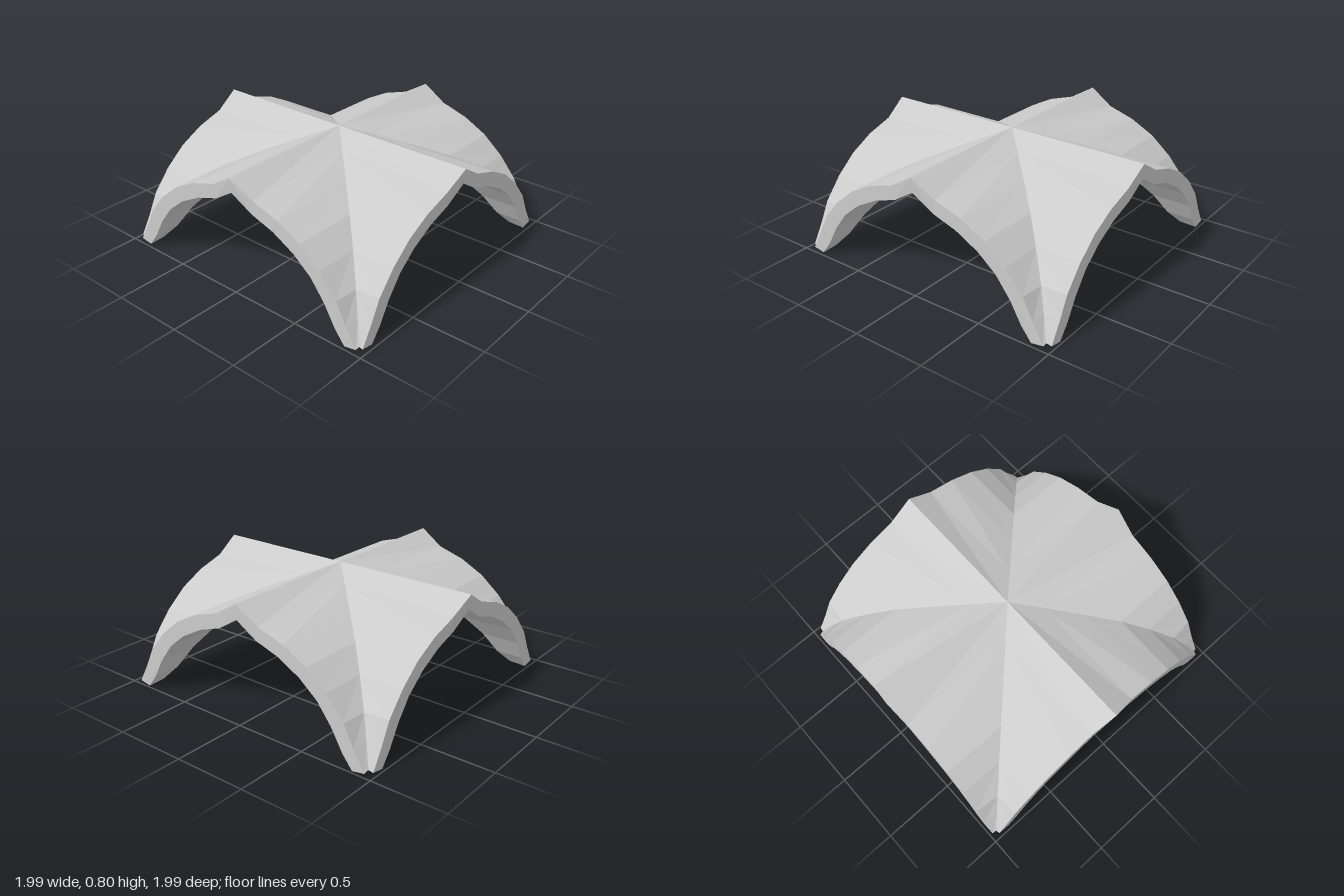
import * as THREE from 'three';

// Half-arch stations from crown to foot: [x, y] of each edge of the shell section
const STATIONS = [
  // outer groin    outer rim      inner rim      inner groin
  [[0, 0.8],        [0, 0.8],      [0, 0.7],      [0, 0.7]],
  [[0.17, 0.725],   [0.17, 0.697], [0.15, 0.605], [0.15, 0.625]],
  [[0.36, 0.638],   [0.36, 0.638], [0.32, 0.55],  [0.32, 0.55]],
  [[0.535, 0.55],   [0.53, 0.55],  [0.48, 0.465], [0.48, 0.465]],
  [[0.68, 0.43],    [0.675, 0.43], [0.61, 0.36],  [0.61, 0.36]],
  [[0.815, 0.285],  [0.8, 0.285],  [0.71, 0.23],  [0.71, 0.23]],
  [[0.885, 0.155],  [0.87, 0.145], [0.79, 0.09],  [0.79, 0.09]],
  [[0.95, 0.025],   [0.945, 0.015], [0.86, 0], [0.86, 0.005]],
];

// One quarter of the vault: a pointed arch running from the centre out to its rim
function vaultPanel(rim, crown) {
  const pos = [];
  const tri = (s, a, b, c) => {
    for (const p of s > 0 ? [a, b, c] : [a, c, b]) pos.push(s * p[0], p[1], p[2]);
  };
  const quad = (s, a, b, c, d) => { tri(s, a, b, c); tri(s, a, c, d); };

  // Groin edges lie on the diagonal, rim edges on the open face
  const rings = STATIONS.map(([og, or, ir, ig], i) => {
    const bulge = i === 0 ? crown - rim : 0;
    return [
      [og[0], og[1], og[0]],
      [or[0], or[1], rim + bulge],
      [ir[0], ir[1], rim + bulge * 0.5],
      [ig[0], ig[1], ig[0]],
    ];
  });

  for (const s of [1, -1]) {
    for (let i = 0; i < rings.length - 1; i++) {
      const a = rings[i], b = rings[i + 1];
      for (let j = 0; j < 3; j++) quad(s, a[j], a[j + 1], b[j + 1], b[j]);
    }
    quad(s, ...rings[rings.length - 1]); // sole of the foot
  }

  const geo = new THREE.BufferGeometry();
  geo.setAttribute('position', new THREE.Float32BufferAttribute(pos, 3));
  geo.computeVertexNormals();
  return geo;
}

export function createModel() {
  const group = new THREE.Group();
  group.name = 'groinVault';
  const material = new THREE.MeshStandardMaterial({ color: 0xcccccc, flatShading: true });

  // Four panels meet along the diagonals; rims differ slightly in depth
  const panels = [
    ['frontPanel', 0.972, 0.99],
    ['leftPanel', 0.984, 0.991],
    ['backPanel', 0.98, 1.0],
    ['rightPanel', 0.975, 0.998],
  ];
  panels.forEach(([name, rim, crown], k) => {
    const mesh = new THREE.Mesh(vaultPanel(rim, crown), material);
    mesh.name = name;
    mesh.rotation.y = k * Math.PI / 2;
    group.add(mesh);
  });
  return group;
}
